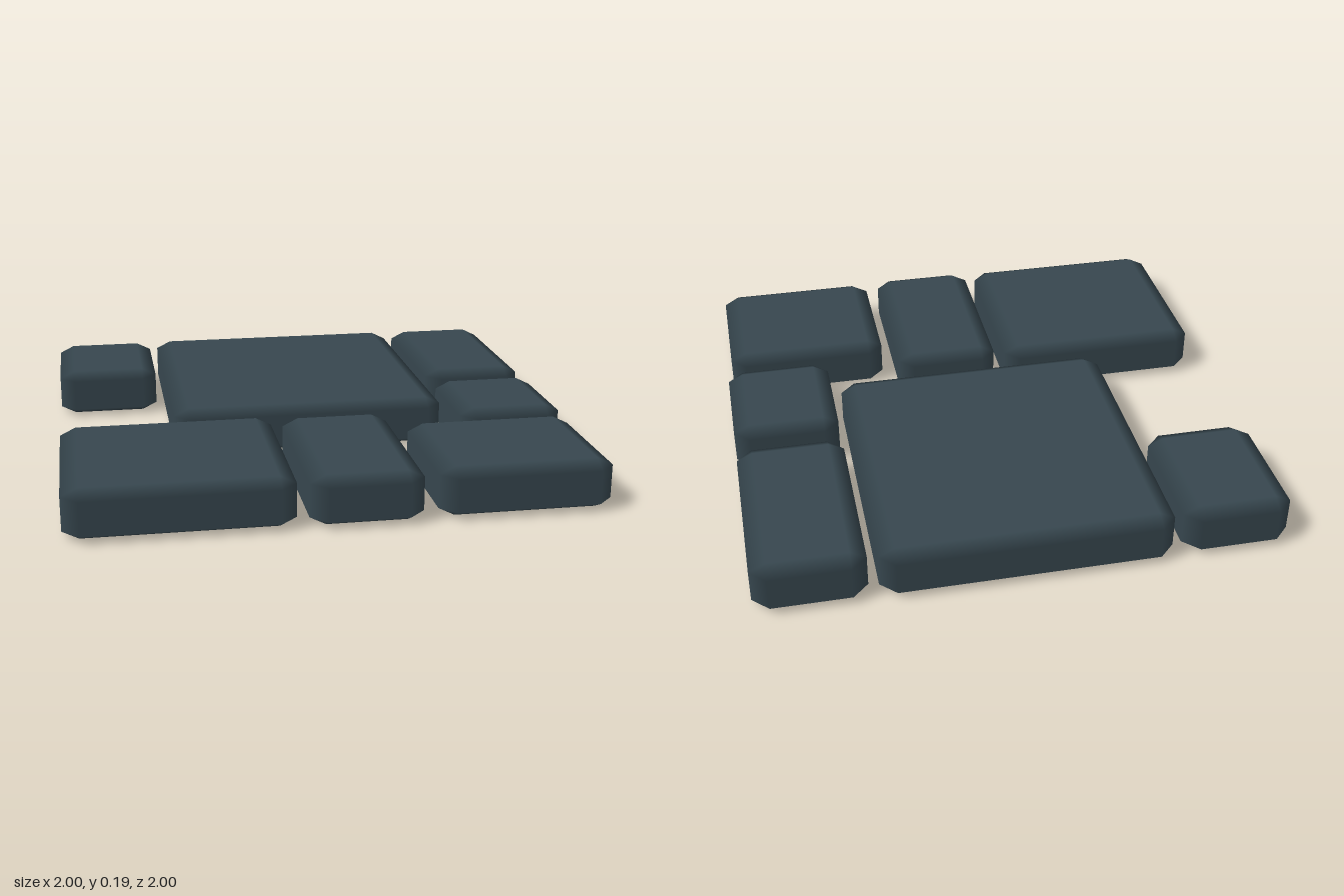
import * as THREE from 'three';

const HEIGHT = 0.187;
const BEVEL = 0.06; // sideways bevel
const BEVEL_Y = 0.03; // bevel at top and bottom

// Box with one bevel step; every vertex keeps the normal of its main face,
// so the flats stay flat and the bevels shade softly.
function beveledBox(w, h, d) {
  const half = [w / 2, h / 2, d / 2];
  const bevel = [BEVEL, BEVEL_Y, BEVEL];
  const positions = [], normals = [], index = [];
  const signs = (c) => [c & 1 ? 1 : -1, c & 2 ? 1 : -1, c & 4 ? 1 : -1];
  const id = (corner, axis) => corner * 3 + axis;

  // three vertices at each corner, one for each adjoining face
  for (let c = 0; c < 8; c++) {
    const s = signs(c);
    for (let axis = 0; axis < 3; axis++) {
      for (let k = 0; k < 3; k++) {
        positions.push(s[k] * (half[k] - (k === axis ? 0 : bevel[k])));
        normals.push(k === axis ? s[k] : 0);
      }
    }
  }

  // triangle wound so that it faces away from the centre
  const point = (i) => new THREE.Vector3().fromArray(positions, i * 3);
  function tri(a, b, c) {
    const pa = point(a), n = point(b).sub(pa).cross(point(c).sub(pa));
    if (n.dot(pa) > 0) index.push(a, b, c);
    else index.push(a, c, b);
  }
  function quad(a, b, c, e) {
    tri(a, b, c);
    tri(a, c, e);
  }

  for (let axis = 0; axis < 3; axis++) {
    const u = (axis + 1) % 3, v = (axis + 2) % 3;
    const bu = 1 << u, bv = 1 << v, ba = 1 << axis;
    // flat faces
    for (const c of [0, ba]) {
      quad(id(c, axis), id(c | bu, axis), id(c | bu | bv, axis), id(c | bv, axis));
    }
    // bevels along this axis
    for (const c of [0, bu, bv, bu | bv]) {
      quad(id(c, u), id(c | ba, u), id(c | ba, v), id(c, v));
    }
  }
  // corner triangles
  for (let c = 0; c < 8; c++) tri(id(c, 0), id(c, 1), id(c, 2));

  const geometry = new THREE.BufferGeometry();
  geometry.setAttribute('position', new THREE.Float32BufferAttribute(positions, 3));
  geometry.setAttribute('normal', new THREE.Float32BufferAttribute(normals, 3));
  geometry.setIndex(index);
  return geometry;
}

export function createModel() {
  const group = new THREE.Group();
  group.name = 'pavingStones';
  const slate = new THREE.MeshStandardMaterial({ color: 0x37474f });
  slate.name = 'slate';

  // name, then the extents x0, x1, z0, z1
  const stones = [
    ['backRightStone', -1, -0.585, -0.99, -0.44],
    ['largeCentreStone', -0.55, 0.547, -1, 0.172],
    ['backLeftStone', 0.584, 1, -0.99, -0.216],
    ['smallLeftStone', 0.584, 1, 0.15 - 0.298, 0.346],
    ['frontRightStone', -1, -0.18, 0.217, 0.987],
    ['frontMiddleStone', -0.138, 0.277, 0.245, 1],
    ['frontLeftStone', 0.332, 0.98, 0.388, 0.99],
  ];
  for (const [name, x0, x1, z0, z1] of stones) {
    const stone = new THREE.Mesh(beveledBox(x1 - x0, HEIGHT, z1 - z0), slate);
    stone.name = name;
    stone.position.set((x0 + x1) / 2, HEIGHT / 2, (z0 + z1) / 2);
    group.add(stone);
  }
  return group;
}
